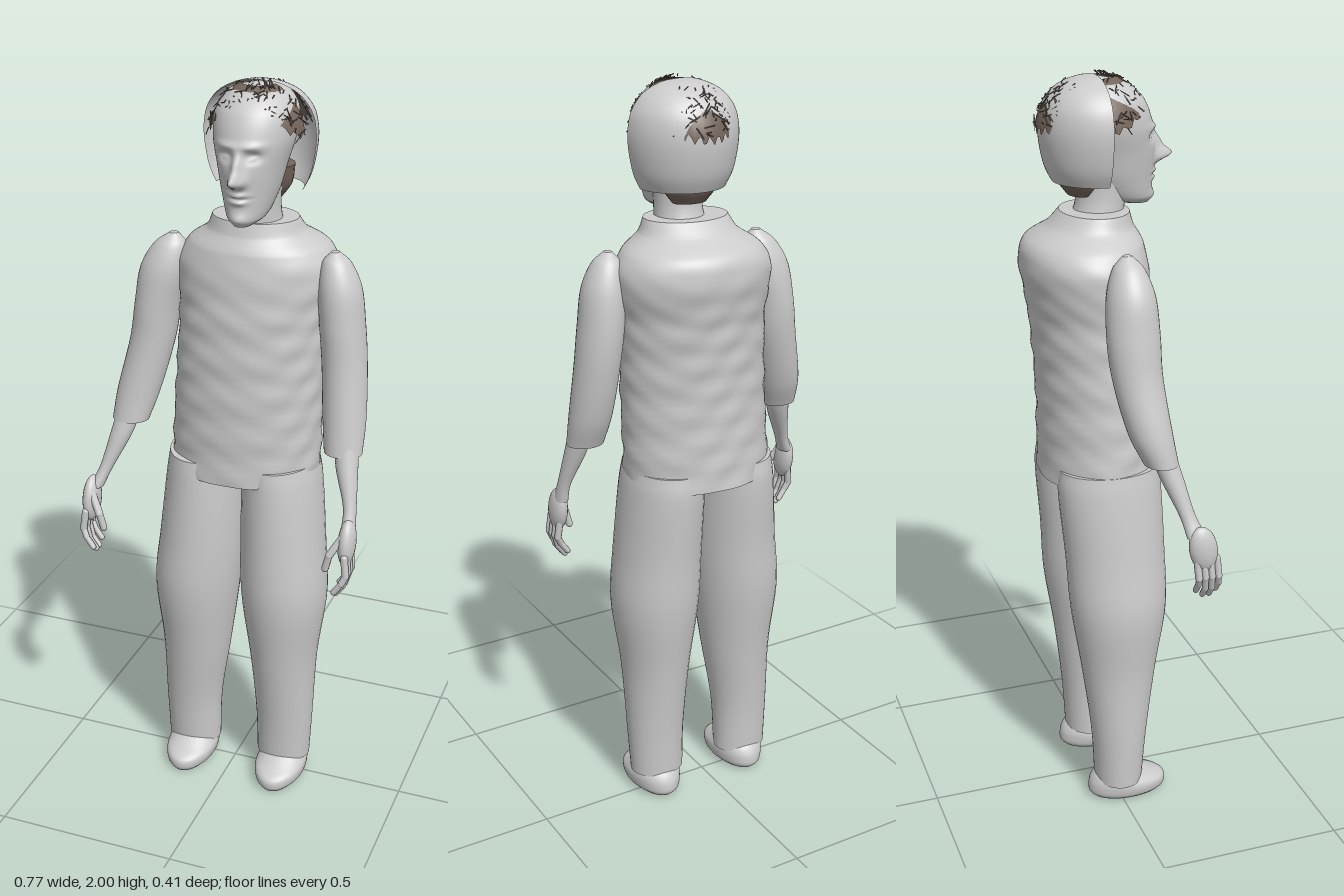
import * as THREE from 'three';
import { mergeGeometries } from 'three/addons/utils/BufferGeometryUtils.js';

const grey = new THREE.MeshStandardMaterial({ color: 0xcccccc, side: THREE.DoubleSide });
grey.name = 'light grey';
const brown = new THREE.MeshStandardMaterial({ color: 0x74665b, side: THREE.DoubleSide });
brown.name = 'hair brown';

const V = (x, y, z) => new THREE.Vector3(x, y, z);
const HEAD_X = 0.062;

// Smooth surface through horizontal rings [x, y, z, rx, rz], listed from bottom to top.
function loft(rings, { sides = 36, steps = 40, push = null } = {}) {
  const centre = new THREE.CatmullRomCurve3(rings.map(r => V(r[0], r[1], r[2])), false, 'centripetal');
  const size = new THREE.CatmullRomCurve3(rings.map(r => V(r[3], r[1], r[4])), false, 'centripetal');
  const pos = [], idx = [];
  for (let j = 0; j <= steps; j++) {
    const c = centre.getPoint(j / steps), s = size.getPoint(j / steps);
    for (let i = 0; i < sides; i++) {
      const a = i / sides * Math.PI * 2;
      const p = V(c.x + s.x * Math.sin(a), c.y, c.z + s.z * Math.cos(a));
      if (push) push(p, a);
      pos.push(p.x, p.y, p.z);
    }
  }
  for (let j = 0; j < steps; j++) for (let i = 0; i < sides; i++) {
    const a = j * sides + i, b = j * sides + (i + 1) % sides;
    idx.push(a, b, b + sides, a, b + sides, a + sides);
  }
  // Flat end caps with their own corners
  for (const end of [0, steps]) {
    const base = pos.length / 3, c = centre.getPoint(end / steps);
    for (let i = 0; i < sides; i++) {
      const k = (end * sides + i) * 3;
      pos.push(pos[k], pos[k + 1], pos[k + 2]);
    }
    pos.push(c.x, c.y, c.z);
    for (let i = 0; i < sides; i++) {
      const a = base + i, b = base + (i + 1) % sides;
      if (end) idx.push(a, b, base + sides); else idx.push(b, a, base + sides);
    }
  }
  const g = new THREE.BufferGeometry();
  g.setAttribute('position', new THREE.Float32BufferAttribute(pos, 3));
  g.setIndex(idx);
  g.computeVertexNormals();
  return g;
}

// Rounded rod between two points
function rod(a, b, r, capSides = 8) {
  const d = b.clone().sub(a);
  const g = new THREE.CapsuleGeometry(r, d.length(), 3, capSides);
  g.applyQuaternion(new THREE.Quaternion().setFromUnitVectors(V(0, 1, 0), d.normalize()));
  return g.translate((a.x + b.x) / 2, (a.y + b.y) / 2, (a.z + b.z) / 2);
}

// Palm, four curled fingers and a thumb; side is +1 for left, -1 for right
function hand(side) {
  const palm = new THREE.SphereGeometry(1, 20, 14).scale(0.023, 0.064, 0.038)
    .rotateX(-0.2).translate(side * 0.362, 0.858, 0.145);
  const parts = [palm];
  const chain = (pts, r) => {
    for (let i = 1; i < pts.length; i++) parts.push(rod(pts[i - 1], pts[i], r - i * 0.0008));
  };
  for (let i = 0; i < 4; i++) {
    const z = 0.127 + i * 0.018, drop = [0.015, 0, 0, 0.012][i];
    chain([V(side * 0.366, 0.83, z), V(side * 0.372, 0.78, z + 0.004),
      V(side * 0.362, 0.745 + drop, z + 0.008), V(side * 0.343, 0.718 + drop, z + 0.008)], 0.0105);
  }
  chain([V(side * 0.355, 0.88, 0.16), V(side * 0.325, 0.83, 0.18), V(side * 0.315, 0.79, 0.178)], 0.0115);
  return mergeGeometries(parts);
}

// Soft bump used to model the face
const bump = (x, y, cx, cy, wx, wy) => Math.exp(-(((x - cx) / wx) ** 2) - (((y - cy) / wy) ** 2));

function shapeFace(p, a) {
  if (Math.cos(a) < 0.2) return;
  const x = Math.abs(p.x - HEAD_X), y = p.y;
  p.z += 0.044 * bump(x, y, 0, 1.782, 0.017, 0.018) + 0.022 * bump(x, y, 0, 1.812, 0.013, 0.03)
    + 0.009 * bump(x, y, 0.015, 1.776, 0.009, 0.01)
    - 0.015 * bump(x, y, 0.034, 1.835, 0.02, 0.013) + 0.007 * bump(x, y, 0.034, 1.832, 0.011, 0.006)
    + 0.007 * bump(x, y, 0.03, 1.86, 0.03, 0.009)
    + 0.011 * bump(x, y, 0, 1.744, 0.022, 0.007) + 0.010 * bump(x, y, 0, 1.726, 0.02, 0.007)
    - 0.006 * bump(x, y, 0, 1.735, 0.026, 0.003) + 0.008 * bump(x, y, 0, 1.682, 0.025, 0.015);
}

// Point on the hair dome: phi is measured from the front, e is height above the dome's middle
function domePoint(phi, e, out = 0) {
  const back = Math.cos(phi) < 0;
  return V(HEAD_X + (0.122 + out) * Math.sin(phi) * Math.cos(e),
    1.855 + (0.138 + out) * Math.sin(e),
    ((back ? 0.155 : 0.135) + out) * Math.cos(phi) * Math.cos(e));
}

// Patch of the hair dome with a hairline given by low(phi) and high(phi)
function hairPatch(from, to, low, high) {
  const n = 32, m = 10, pos = [], idx = [];
  for (let i = 0; i <= n; i++) for (let j = 0; j <= m; j++) {
    const phi = from + (to - from) * i / n;
    const p = domePoint(phi, low(phi) + (high(phi) - low(phi)) * j / m);
    pos.push(p.x, p.y, p.z);
    if (i < n && j < m) {
      const a = i * (m + 1) + j, b = a + m + 1;
      idx.push(a, b, b + 1, a, b + 1, a + 1);
    }
  }
  const g = new THREE.BufferGeometry();
  g.setAttribute('position', new THREE.Float32BufferAttribute(pos, 3));
  g.setIndex(idx);
  g.computeVertexNormals();
  return g;
}

export function createModel() {
  const model = new THREE.Group();
  const add = (name, geometry, material = grey) => {
    const mesh = new THREE.Mesh(geometry, material);
    mesh.name = name;
    model.add(mesh);
  };

  // Shirt with shallow cloth folds
  add('shirt', loft([[0.025, 0.955, -0.015, 0.205, 0.153], [0.035, 1.2, -0.015, 0.2, 0.153],
    [0.045, 1.4, -0.025, 0.2, 0.158], [0.05, 1.53, -0.04, 0.211, 0.162], [0.052, 1.58, -0.038, 0.185, 0.15],
    [0.052, 1.62, -0.02, 0.13, 0.11], [0.052, 1.655, -0.008, 0.112, 0.088]], {
    sides: 72, steps: 80, push: (p, a) => {
      const k = 0.003 * Math.sin(p.y * 75 + 2 * Math.sin(a * 3)) * Math.sin(a * 5 + p.y * 17)
        * THREE.MathUtils.clamp((1.6 - p.y) * 5, 0, 1);
      p.x += k * Math.sin(a);
      p.z += k * Math.cos(a);
    },
  }));

  // Sleeves, forearms and hands
  add('leftSleeve', loft([[0.318, 1.07, 0.058, 0.05, 0.044], [0.312, 1.15, 0.035, 0.056, 0.056],
    [0.3, 1.3, 0.01, 0.058, 0.065], [0.29, 1.4, 0.005, 0.058, 0.068], [0.28, 1.5, 0.005, 0.054, 0.06],
    [0.27, 1.56, 0.005, 0.035, 0.038], [0.266, 1.585, 0.005, 0.01, 0.012]]));
  add('rightSleeve', loft([[-0.278, 1.075, 0.058, 0.05, 0.044], [-0.263, 1.15, 0.035, 0.058, 0.056],
    [-0.228, 1.3, 0.01, 0.06, 0.065], [-0.213, 1.4, 0.005, 0.061, 0.068], [-0.192, 1.5, 0.005, 0.063, 0.06],
    [-0.175, 1.56, 0.005, 0.042, 0.038], [-0.166, 1.588, 0.005, 0.012, 0.012]]));
  add('leftForearm', loft([[0.36, 0.89, 0.13, 0.018, 0.026], [0.357, 0.94, 0.113, 0.017, 0.021],
    [0.336, 1.04, 0.08, 0.029, 0.03], [0.325, 1.12, 0.055, 0.033, 0.033]]));
  add('rightForearm', loft([[-0.354, 0.89, 0.13, 0.019, 0.026], [-0.332, 0.94, 0.113, 0.018, 0.021],
    [-0.296, 1.04, 0.08, 0.03, 0.03], [-0.275, 1.12, 0.055, 0.033, 0.033]]));
  add('leftHand', hand(1));
  add('rightHand', hand(-1));

  // Trouser legs
  add('rightTrouserLeg', loft([[-0.125, 0.055, 0, 0.076, 0.066], [-0.125, 0.2, 0.002, 0.081, 0.076],
    [-0.112, 0.4, 0.005, 0.097, 0.102], [-0.108, 0.6, 0.005, 0.118, 0.132], [-0.095, 0.75, 0, 0.115, 0.136],
    [-0.083, 0.95, -0.012, 0.105, 0.14], [-0.08, 1, -0.012, 0.1, 0.135]]));
  add('leftTrouserLeg', loft([[0.15, 0.065, 0, 0.076, 0.066], [0.152, 0.2, 0.002, 0.081, 0.076],
    [0.148, 0.4, 0.005, 0.094, 0.102], [0.147, 0.6, 0.005, 0.118, 0.132], [0.14, 0.75, 0, 0.115, 0.136],
    [0.13, 0.95, -0.012, 0.105, 0.14], [0.125, 1, -0.012, 0.1, 0.135]]));

  // Shoes
  for (const [name, x] of [['leftShoe', 0.153], ['rightShoe', -0.122]]) {
    add(name, loft([[x, 0, 0.03, 0.052, 0.1], [x, 0.015, 0.028, 0.066, 0.112], [x, 0.04, 0.026, 0.071, 0.11],
      [x, 0.062, 0.01, 0.066, 0.085], [x, 0.09, -0.002, 0.05, 0.05]], { steps: 20 }));
  }

  // Neck and head with modelled face
  add('neck', loft([[HEAD_X, 1.62, 0, 0.068, 0.07], [HEAD_X, 1.68, 0.012, 0.061, 0.064],
    [HEAD_X, 1.77, 0.015, 0.063, 0.068]]));
  add('head', loft([[HEAD_X, 1.663, 0.11, 0.022, 0.03], [HEAD_X, 1.68, 0.083, 0.046, 0.066],
    [HEAD_X, 1.73, 0.057, 0.066, 0.093], [HEAD_X, 1.8, 0.042, 0.083, 0.112], [HEAD_X, 1.87, 0.027, 0.1, 0.12],
    [HEAD_X, 1.93, 0.01, 0.099, 0.113], [HEAD_X, 1.97, 0, 0.07, 0.08], [HEAD_X, 1.986, 0, 0.012, 0.012]],
  { sides: 120, steps: 110, push: shapeFace }));

  // Open half shell behind the ears
  const shell = [[0.113, 1.73], [0.132, 1.77], [0.144, 1.83], [0.145, 1.88], [0.133, 1.925], [0.1, 1.963],
    [0.05, 1.985], [0, 1.99]].map(p => new THREE.Vector2(...p));
  add('headShell', new THREE.LatheGeometry(new THREE.SplineCurve(shell).getPoints(28), 40, Math.PI / 2, Math.PI)
    .translate(HEAD_X, 0, 0));

  // Hair: front fringe, back patch and nape
  const frontLow = phi => 0.08 + 0.55 * Math.cos(phi) ** 2 + 0.06 * Math.sin(phi * 23);
  const backLow = phi => 0.05 + 0.25 * (phi - Math.PI) ** 2 + 0.08 * Math.sin(phi * 31);
  add('frontHair', hairPatch(-1.5, 1.5, frontLow, () => 1.22), brown);
  add('backHair', hairPatch(Math.PI - 0.95, Math.PI + 0.95, backLow, () => 0.92), brown);
  add('napeHair', loft([[HEAD_X, 1.695, -0.045, 0.045, 0.03], [HEAD_X, 1.73, -0.045, 0.07, 0.055],
    [HEAD_X, 1.78, -0.04, 0.078, 0.07]], { sides: 24, steps: 8 }), brown);

  // Loose strands crossing over the hair
  let seed = 7;
  const rnd = () => (seed = (seed * 16807) % 2147483647) / 2147483647;
  const strands = [];
  for (let i = 0; i < 190; i++) {
    const front = i % 2 === 0;
    const phi = front ? (rnd() * 2 - 1) * 1.45 : Math.PI + (rnd() * 2 - 1) * 1.05;
    const low = front ? frontLow(phi) : backLow(phi);
    const e = low + rnd() * ((front ? 1.3 : 1) - low);
    const a = domePoint(phi, e, 0.001);
    const b = domePoint(phi + (rnd() - 0.5) * 0.5, e + (rnd() - 0.5) * 0.4, 0.006);
    strands.push(rod(a, b, 0.0014, 4));
  }
  add('hairStrands', mergeGeometries(strands), brown);
  return model;
}
